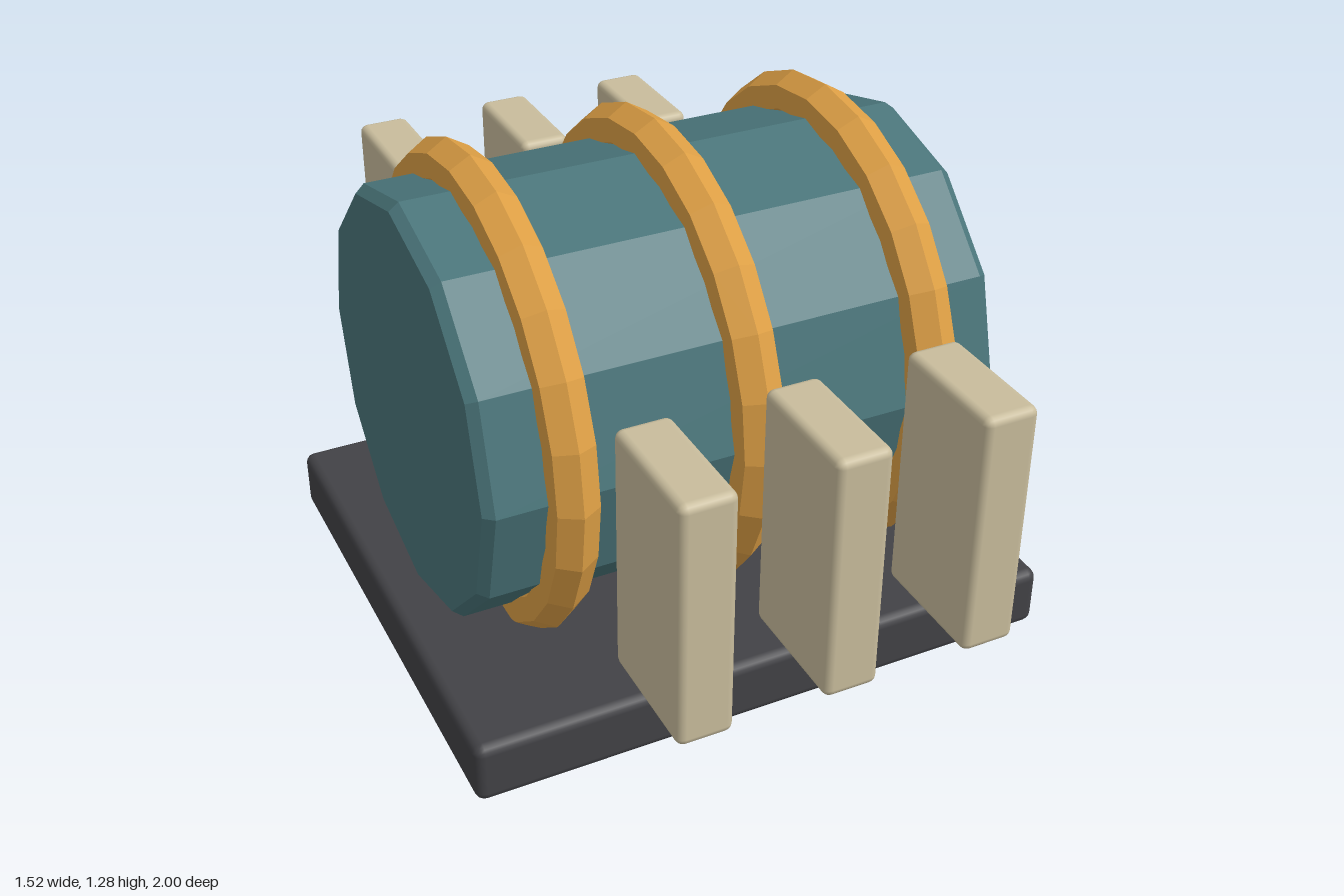
import * as THREE from 'three';
import { RoundedBoxGeometry } from 'three/addons/geometries/RoundedBoxGeometry.js';

const AXIS_Y = 0.675; // height of the drum's axis

export function createModel() {
  const model = new THREE.Group();
  model.name = 'bandedDrum';

  const paint = (color, flatShading = false) => new THREE.MeshStandardMaterial({ color, flatShading });
  const teal = paint(0x4a757a, true);
  const orange = paint(0xdd9f45, true);
  const beige = paint(0xc8bc9c);
  const dark = paint(0x424246);

  const add = (name, geometry, material, x, y, z) => {
    const mesh = new THREE.Mesh(geometry, material);
    mesh.name = name;
    mesh.position.set(x, y, z);
    model.add(mesh);
    return mesh;
  };

  // Base slab
  add('base', new RoundedBoxGeometry(1.52, 0.16, 1.32, 2, 0.025), dark, 0, 0.08, 0);

  // Twelve-sided drum lying along x, with chamfered rims
  const profile = [[0, -0.66], [0.51, -0.66], [0.53, -0.635], [0.53, 0.635], [0.51, 0.66], [0, 0.66]]
    .map(([r, h]) => new THREE.Vector2(r, h));
  add('drum', new THREE.LatheGeometry(profile, 12).rotateZ(-Math.PI / 2), teal, 0, AXIS_Y, 0);

  // Three hexagonal-section bands around the drum
  const band = new THREE.TorusGeometry(0.55, 0.06, 6, 24).rotateY(Math.PI / 2);
  for (const x of [-0.46, 0, 0.46]) add('band', band, orange, x, AXIS_Y, 0);

  // Round plate on the left end
  const plate = new THREE.CylinderGeometry(0.305, 0.305, 0.06, 16).rotateZ(-Math.PI / 2);
  add('endPlate', plate, orange, 0.66, AXIS_Y, 0);

  // Upright blocks in front of and behind the drum
  const block = new RoundedBoxGeometry(0.135, 0.625, 0.32, 2, 0.02);
  for (const side of [1, -1]) {
    for (const x of [-0.357, 0, 0.357]) {
      add(side > 0 ? 'frontBlock' : 'backBlock', block, beige, x, 0.633, side * 0.84);
    }
  }

  return model;
}
